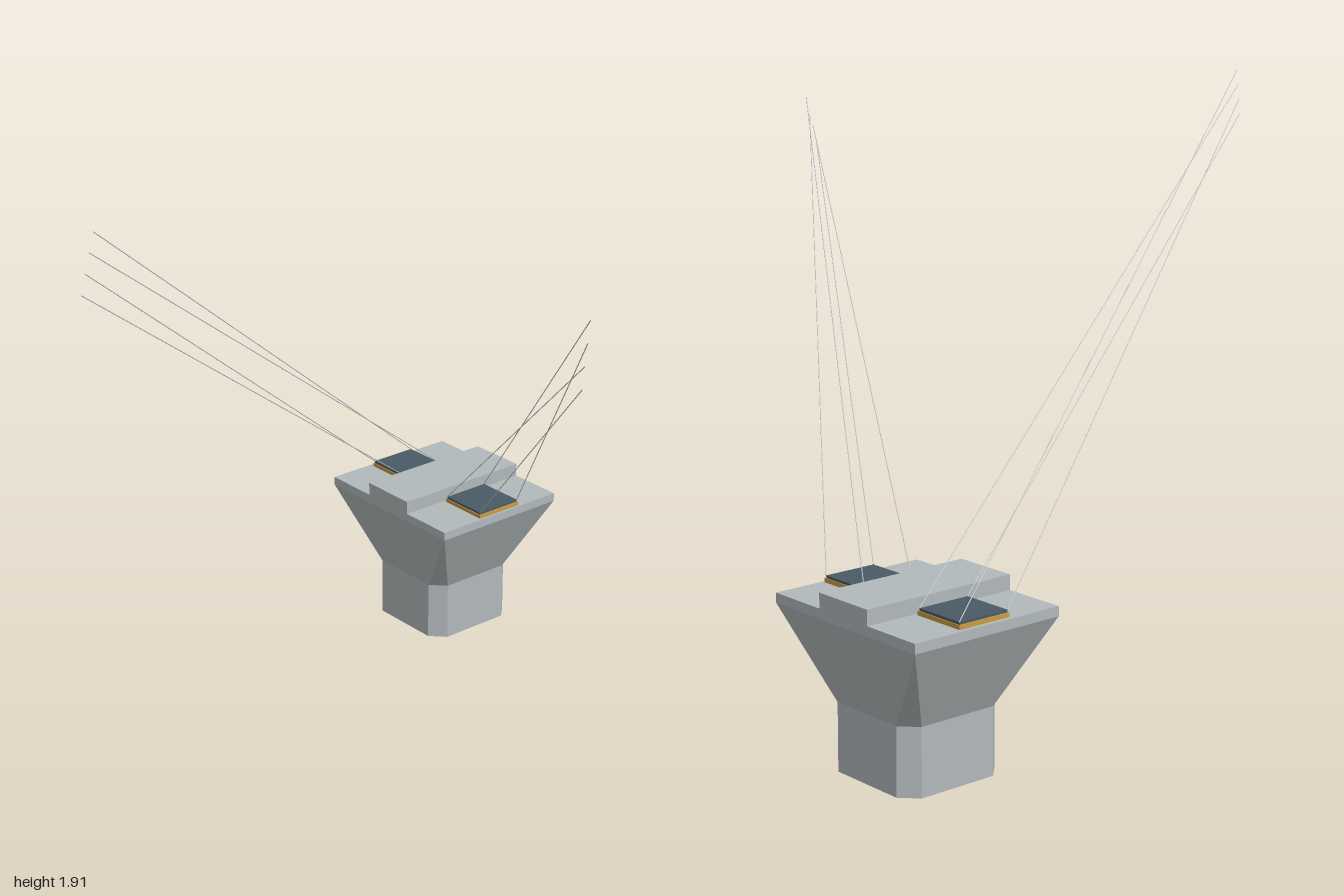
import * as THREE from 'three';

const concrete = new THREE.MeshStandardMaterial({ color: 0xb2b9bb, name: 'concrete grey', flatShading: true });
const slate = new THREE.MeshStandardMaterial({ color: 0x4a5b67, name: 'slate blue', flatShading: true });
const ochre = new THREE.MeshStandardMaterial({ color: 0xc99a45, name: 'ochre', flatShading: true });
const cableGrey = new THREE.MeshStandardMaterial({ color: 0xc4c8ca, name: 'cable grey' });

const CX = -0.6625, CZ = -0.7375;

// Box given by its minimum and maximum corners
function box(name, material, [x0, y0, z0], [x1, y1, z1]) {
  const mesh = new THREE.Mesh(new THREE.BoxGeometry(x1 - x0, y1 - y0, z1 - z0), material);
  mesh.position.set((x0 + x1) / 2, (y0 + y1) / 2, (z0 + z1) / 2);
  mesh.name = name;
  return mesh;
}

// Eight-point ring: a rectangle with its corners cut by c
function ring(y, hx, hz, c) {
  return [
    [hx, hz - c], [hx - c, hz], [c - hx, hz], [-hx, hz - c],
    [-hx, c - hz], [c - hx, -hz], [hx - c, -hz], [hx, c - hz],
  ].map(([x, z]) => new THREE.Vector3(CX + x, y, CZ + z));
}

// Flat-faced loft through rings, closed at both ends
function loft(name, rings, material) {
  const points = [];
  for (let r = 0; r < rings.length - 1; r++) {
    const a = rings[r], b = rings[r + 1];
    for (let i = 0; i < 8; i++) {
      const j = (i + 1) % 8;
      if (a[i].distanceTo(a[j]) > 1e-6) points.push(a[i], b[i], a[j]);
      if (b[i].distanceTo(b[j]) > 1e-6) points.push(a[j], b[i], b[j]);
    }
  }
  const low = rings[0], high = rings[rings.length - 1];
  for (let i = 1; i < 7; i++) {
    points.push(low[0], low[i], low[i + 1]);
    points.push(high[0], high[i + 1], high[i]);
  }
  const geometry = new THREE.BufferGeometry().setFromPoints(points);
  geometry.computeVertexNormals();
  const mesh = new THREE.Mesh(geometry, material);
  mesh.name = name;
  return mesh;
}

// Hair-thin straight cable between two points
function cable(from, to) {
  const direction = to.clone().sub(from);
  const mesh = new THREE.Mesh(new THREE.CylinderGeometry(0.0015, 0.0015, direction.length(), 6), cableGrey);
  mesh.position.copy(from).addScaledVector(direction, 0.5);
  mesh.quaternion.setFromUnitVectors(new THREE.Vector3(0, 1, 0), direction.normalize());
  mesh.name = 'cable';
  return mesh;
}

// Bearing pad with one cable rising from each corner
function bearing(name, x0, x1, firstEnd, lastEnd) {
  const group = new THREE.Group();
  group.name = name;
  const z0 = -0.828, z1 = -0.652;
  group.add(box('bearingBase', ochre, [x0 - 0.005, 0.51, z0 - 0.003], [x1 + 0.005, 0.523, z1 + 0.003]));
  group.add(box('bearingPlate', slate, [x0, 0.523, z0], [x1, 0.531, z1]));
  const corners = [[x0, z0], [x1, z0], [x0, z1], [x1, z1]];
  corners.forEach(([x, z], i) => {
    const end = firstEnd.clone().lerp(lastEnd, i / 3);
    group.add(cable(new THREE.Vector3(x, 0.531, z), end));
  });
  return group;
}

export function createModel() {
  const model = new THREE.Group();
  model.name = 'pierWithCables';

  // Chamfered shaft flaring into a rectangular head
  model.add(loft('pier', [
    ring(0, 0.1825, 0.1825, 0.05),
    ring(0.21, 0.1825, 0.1825, 0.05),
    ring(0.48, 0.3125, 0.2625, 0),
    ring(0.51, 0.3125, 0.2625, 0),
  ], concrete));

  // Raised block across the middle of the head
  model.add(box('centreBlock', concrete, [-0.77, 0.51, -1], [-0.555, 0.557, -0.475]));

  // Bearings and their cable bundles
  const v = (x, y, z) => new THREE.Vector3(x, y, z);
  model.add(bearing('rightBearing', -0.956, -0.787, v(-0.34, 1.91, 0.9), v(-0.264, 1.756, 1)));
  model.add(bearing('leftBearing', -0.54, -0.363, v(0.895, 1.79, 0.07), v(0.973, 1.632, 0.17)));
  return model;
}
